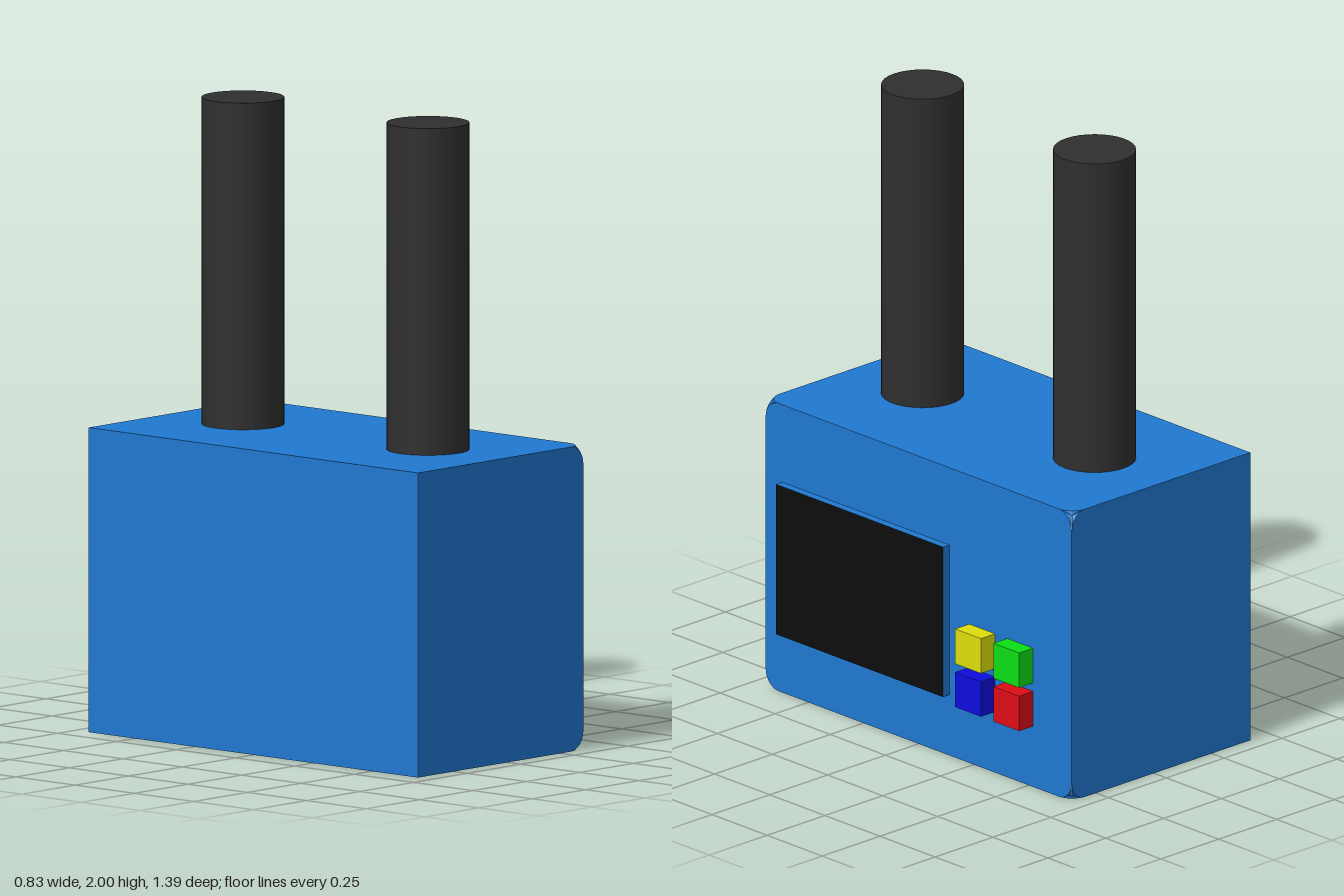
import * as THREE from 'three';

const BLUE = 0x2078d0, BLACK = 0x0d0d0d, DARK = 0x2f2f2f;
const mat = (color) => new THREE.MeshStandardMaterial({ color });

// Box whose four +x corners are rounded off within each face; the edges stay sharp.
function bodyGeometry(min, max, r, steps = 8) {
  const positions = [];
  const middle = min.clone().add(max).multiplyScalar(0.5);

  // Fan of triangles around a centre, each turned to face outwards
  const fan = (centre, loop) => loop.forEach((p, i) => {
    const q = loop[(i + 1) % loop.length];
    if (p.distanceTo(q) < 1e-6) return;
    const n = p.clone().sub(centre).cross(q.clone().sub(centre));
    const outward = n.dot(centre.clone().sub(middle)) > 0;
    for (const v of outward ? [centre, p, q] : [centre, q, p]) positions.push(v.x, v.y, v.z);
  });

  const cornerPoint = (s) => new THREE.Vector3(...[0, 1, 2].map((k) => (s[k] > 0 ? max : min).getComponent(k)));

  // Quarter circle around a corner, in the plane of axes u and v
  const arc = (s, u, v) => {
    const points = [];
    for (let i = 0; i <= steps; i++) {
      const t = (i / steps) * Math.PI / 2;
      const p = cornerPoint(s);
      p.setComponent(u, p.getComponent(u) + s[u] * r * (Math.cos(t) - 1));
      p.setComponent(v, p.getComponent(v) + s[v] * r * (Math.sin(t) - 1));
      points.push(p);
    }
    return points;
  };

  // Six faces
  for (let a = 0; a < 3; a++) {
    const u = (a + 1) % 3, v = (a + 2) % 3;
    for (const side of [1, -1]) {
      const loop = [];
      for (const [su, sv] of [[1, 1], [-1, 1], [-1, -1], [1, -1]]) {
        const s = [0, 0, 0];
        s[a] = side; s[u] = su; s[v] = sv;
        if (s[0] < 0) loop.push(cornerPoint(s));
        else loop.push(...(su * sv > 0 ? arc(s, u, v) : arc(s, u, v).reverse()));
      }
      const centre = middle.clone();
      centre.setComponent(a, (side > 0 ? max : min).getComponent(a));
      fan(centre, loop);
    }
  }

  // Small three-sided patches closing the cut corners
  for (const sy of [1, -1]) for (const sz of [1, -1]) {
    const s = [1, sy, sz];
    const loop = [...arc(s, 0, 1), ...arc(s, 2, 0), ...arc(s, 1, 2)];
    const centre = cornerPoint(s).sub(new THREE.Vector3(...s).multiplyScalar(r * 0.22));
    fan(centre, loop);
  }

  const geometry = new THREE.BufferGeometry();
  geometry.setAttribute('position', new THREE.Float32BufferAttribute(positions, 3));
  geometry.computeVertexNormals();
  return geometry;
}

export function createModel() {
  const model = new THREE.Group();
  const add = (name, geometry, material, x = 0, y = 0, z = 0) => {
    const mesh = new THREE.Mesh(geometry, material);
    mesh.name = name;
    mesh.position.set(x, y, z);
    model.add(mesh);
  };

  const faceX = 0.356, topY = 0.965;
  add('body', bodyGeometry(new THREE.Vector3(-0.417, 0, -0.694), new THREE.Vector3(faceX, topY, 0.694), 0.06), mat(BLUE));

  // Two upright pipes
  const pipeHeight = 2 - topY;
  for (const [name, z] of [['frontPipe', 0.39], ['backPipe', -0.39]]) {
    add(name, new THREE.CylinderGeometry(0.13, 0.13, pipeHeight, 32), mat(DARK), -0.033, topY + pipeHeight / 2, z);
  }

  // Raised screen: black on its face, blue round the sides
  const blue = mat(BLUE);
  add('screen', new THREE.BoxGeometry(0.027, 0.503, 0.758),
    [mat(BLACK), blue, blue, blue, blue, blue], faceX + 0.0135, 0.454, 0.24);

  // Two by two block of buttons
  const buttons = [
    ['yellowButton', 0xdddd0d, 0.407, -0.288],
    ['greenButton', 0x0ddd16, 0.407, -0.461],
    ['blueButton', 0x0d0ddd, 0.262, -0.288],
    ['redButton', 0xdd0d16, 0.262, -0.461],
  ];
  for (const [name, color, y, z] of buttons) {
    add(name, new THREE.BoxGeometry(0.061, 0.117, 0.117), mat(color), faceX + 0.0305, y, z);
  }
  return model;
}
